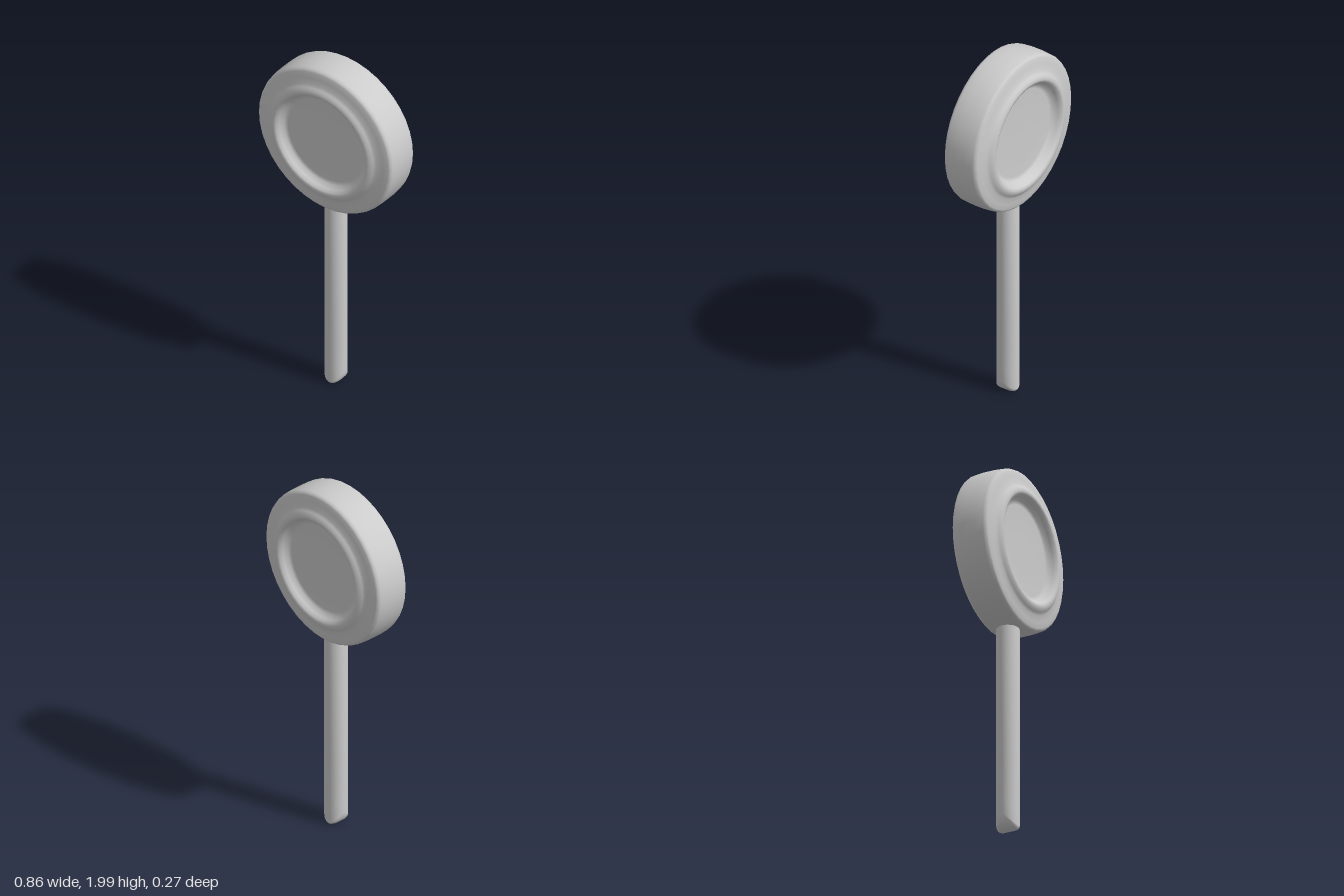
import * as THREE from 'three';
import { mergeVertices } from 'three/addons/utils/BufferGeometryUtils.js';

const material = new THREE.MeshStandardMaterial({ color: 0xcccccc });

// Welded lathe without a seam, smooth all round
function smoothLathe(points, segments, rule) {
  const lathe = new THREE.LatheGeometry(points.map(([r, y]) => new THREE.Vector2(r, y)), segments);
  lathe.deleteAttribute('uv');
  lathe.deleteAttribute('normal');
  if (rule) {
    const p = lathe.attributes.position;
    for (let i = 0; i < p.count; i++) p.setY(i, rule(p.getX(i), p.getY(i), p.getZ(i)));
  }
  const geometry = mergeVertices(lathe, 1e-5);
  geometry.computeVertexNormals();
  return geometry;
}

export function createModel() {
  const group = new THREE.Group();

  // Round head: same raised ring and sunken centre on both faces
  const half = [
    [0, 0.085], [0.12, 0.085], [0.24, 0.086], [0.262, 0.091], [0.276, 0.115],
    [0.286, 0.132], [0.3, 0.137], [0.318, 0.133], [0.33, 0.122], [0.345, 0.112],
    [0.38, 0.106], [0.41, 0.101], [0.421, 0.094], [0.427, 0.08], [0.431, 0.03],
  ];
  const profile = [...half.map(([r, z]) => [r, -z]), ...half.slice().reverse()];
  const headGeometry = smoothLathe(profile, 40);
  headGeometry.rotateX(Math.PI / 2);
  const head = new THREE.Mesh(headGeometry, material);
  head.name = 'head';
  head.position.y = 1.569;
  group.add(head);

  // Stick: the lower end is arched across its width, straight front to back
  const R = 0.06;
  const stickProfile = [
    [0, 0], [0.015, 0], [0.03, 0], [0.042, 0], [0.051, 0.003], [0.057, 0.009],
    [R, 0.018], [R, 0.1], [R, 0.3], [R, 1.2], [0, 1.2],
  ];
  const arch = (x, y) => {
    const k = Math.min(1, Math.abs(x) / R);
    const lift = 0.07 * (1 - Math.sqrt(1 - 0.98 * k * k));
    return 0.01 + y + lift * Math.max(0, 1 - y / 0.3);
  };
  const stick = new THREE.Mesh(smoothLathe(stickProfile, 24, arch), material);
  stick.name = 'stick';
  group.add(stick);

  return group;
}
